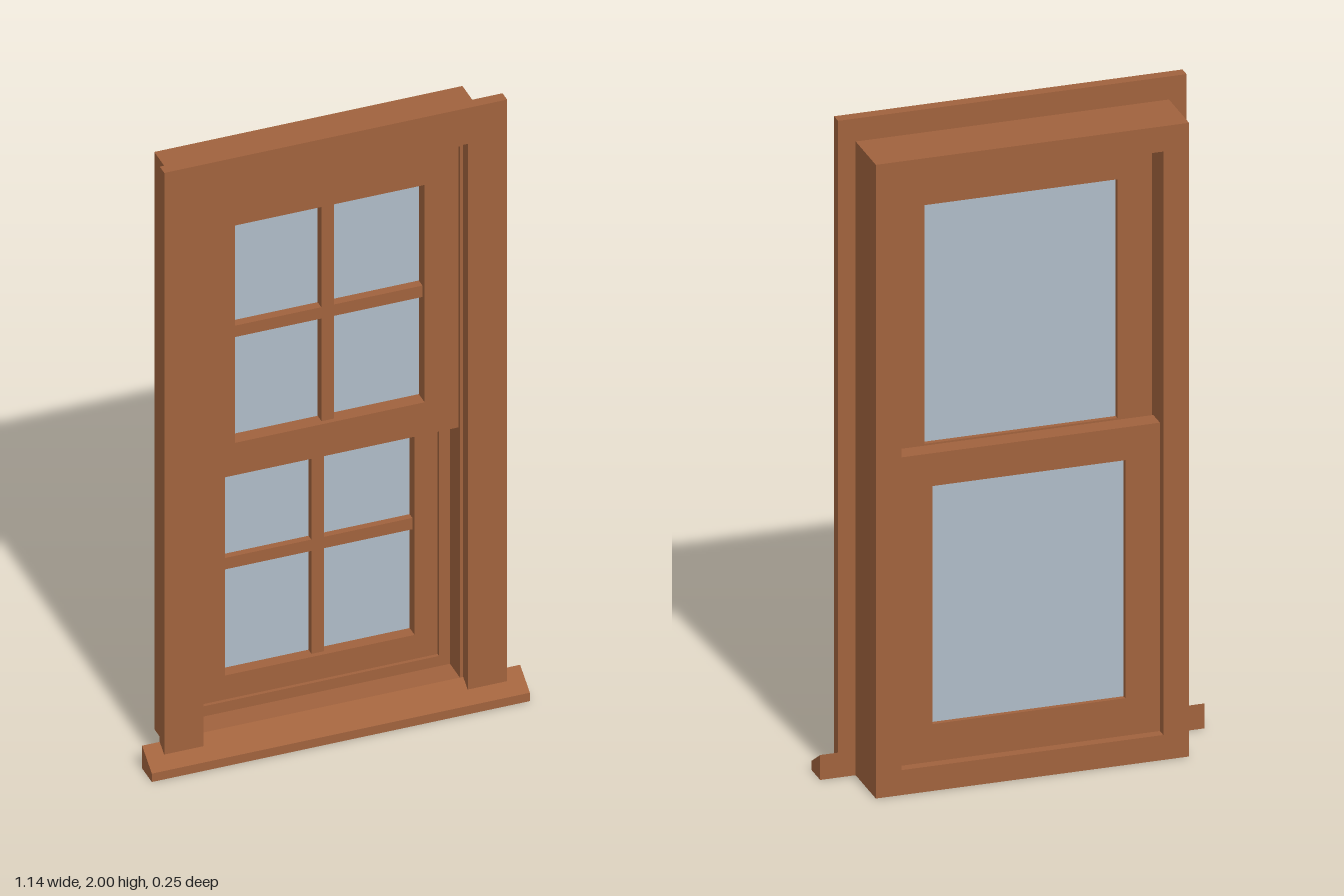
import * as THREE from 'three';

export function createModel() {
  const wood = new THREE.MeshStandardMaterial({ color: 0xa0623d });
  wood.name = 'brown wood';
  const glass = new THREE.MeshStandardMaterial({ color: 0xafbcc7 });
  glass.name = 'grey glass';

  const model = new THREE.Group();
  model.name = 'sashWindow';

  const add = (parent, name, geometry, material = wood) => {
    const mesh = new THREE.Mesh(geometry, material);
    mesh.name = name;
    parent.add(mesh);
    return mesh;
  };
  // Box given by its limits on each axis
  const block = (parent, name, [x0, x1], [y0, y1], [z0, z1], material) =>
    add(parent, name, new THREE.BoxGeometry(x1 - x0, y1 - y0, z1 - z0), material)
      .position.set((x0 + x1) / 2, (y0 + y1) / 2, (z0 + z1) / 2);

  // Outline extruded between two depths, with an optional rectangular hole
  const plate = (points, z0, z1, hole) => {
    const toVectors = (list) => list.map(([x, y]) => new THREE.Vector2(x, y));
    const shape = new THREE.Shape(toVectors(points));
    if (hole) shape.holes.push(new THREE.Path(toVectors(hole)));
    return new THREE.ExtrudeGeometry(shape, { depth: z1 - z0, bevelEnabled: false }).translate(0, 0, z0);
  };
  const rect = (half, y0, y1) => [[-half, y0], [half, y0], [half, y1], [-half, y1]];

  // Deep box frame around both sashes
  add(model, 'boxFrame', plate(rect(0.463, 0, 1.93), -0.125, 0.05, rect(0.387, 0.076, 1.853)));

  // Mitred casing on the front
  const outer = 0.515, inner = 0.397, top = 2, head = 1.88;
  add(model, 'casingHead', plate([[-inner, head], [inner, head], [outer, top], [-outer, top]], 0.05, 0.085));
  for (const [name, s] of [['casingLeft', 1], ['casingRight', -1]]) {
    const points = [[s * inner, 0.055], [s * outer, 0.055], [s * outer, top], [s * inner, head]];
    add(model, name, plate(points, 0.05, 0.085));
  }

  // Sloping sill: a side profile (z, y) swept along x
  const profile = [[-0.05, 0], [-0.05, 0.076], [-0.125, 0.028], [-0.125, 0]];
  add(model, 'sill', plate(profile, -0.568, 0.568).rotateY(Math.PI / 2));

  // Sash: frame, one pane and a cross of glazing bars in front of the pane
  const addSash = (name, y0, y1, paneY, barY, z0, z1) => {
    const sash = new THREE.Group();
    sash.name = name;
    model.add(sash);
    add(sash, 'sashFrame', plate(rect(0.387, y0, y1), z0, z1, rect(0.285, ...paneY)));
    const paneZ = z0 + 0.02;
    block(sash, 'pane', [-0.285, 0.285], paneY, [paneZ - 0.005, paneZ], glass);
    block(sash, 'verticalBar', [-0.019, 0.019], paneY, [paneZ, z1 - 0.015]);
    for (const s of [-1, 1]) {
      const ends = s < 0 ? [-0.285, -0.019] : [0.019, 0.285];
      block(sash, 'horizontalBar', ends, [barY - 0.019, barY + 0.019], [paneZ, z1 - 0.017]);
    }
  };
  addSash('upperSash', 0.907, 1.853, [1.015, 1.742], 1.376, -0.025, 0.04);
  addSash('lowerSash', 0.076, 1.015, [0.19, 0.915], 0.552, -0.095, -0.037);

  // Beads around the front of the lower sash
  for (const s of [-1, 1]) {
    const x = s < 0 ? [-0.387, -0.354] : [0.354, 0.387];
    block(model, 'sideBead', x, [0.076, 0.907], [-0.037, -0.026]);
  }
  block(model, 'bottomBead', [-0.354, 0.354], [0.076, 0.11], [-0.037, -0.026]);

  return model;
}
